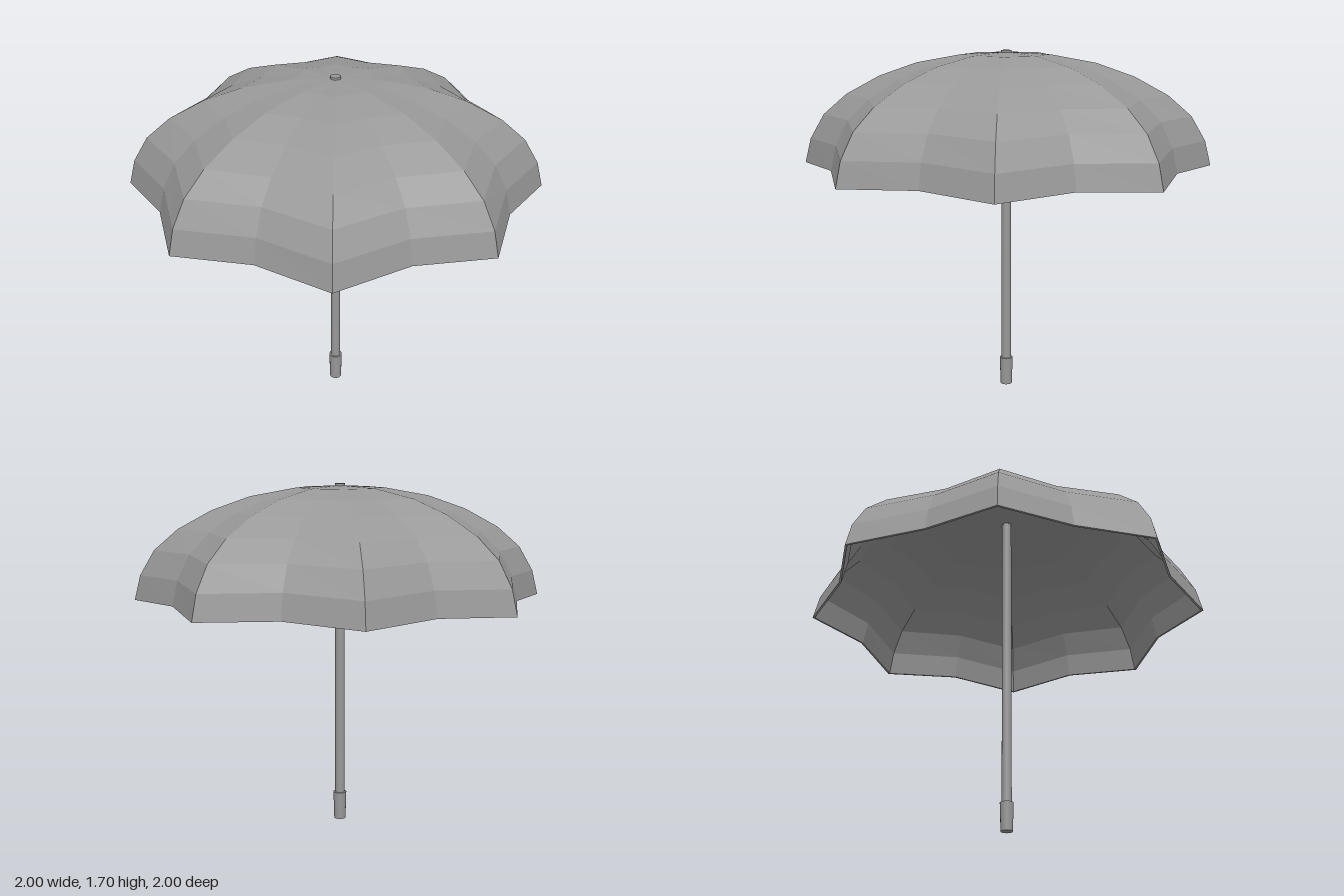
import * as THREE from 'three';

const RIBS = 8;

// Rib outline from crown to rim: [radius, height]
const OUTER = [
  [0, 1.69], [0.215, 1.68], [0.435, 1.64], [0.62, 1.575],
  [0.785, 1.485], [0.9, 1.385], [0.97, 1.265], [1, 1.145],
];
// Lining, from rim back up to the crown
const INNER = [
  [0.988, 1.145], [0.958, 1.262], [0.889, 1.378], [0.776, 1.476],
  [0.614, 1.565], [0.432, 1.63], [0.213, 1.67], [0, 1.68],
];

// Sweeps the profile round the pole, pulling it in between the ribs
function canopyGeometry() {
  const profile = [...OUTER, ...INNER];
  const around = RIBS * 2;
  const positions = [];
  const index = [];
  for (let i = 0; i < around; i++) {
    const angle = (i / around) * Math.PI * 2;
    const valley = i % 2 === 1;
    for (const [r, y] of profile) {
      const radius = valley ? r * 0.87 : r;
      const lift = valley ? 0.015 * r ** 6 : 0;
      positions.push(Math.sin(angle) * radius, y + lift, Math.cos(angle) * radius);
    }
  }
  const n = profile.length;
  for (let i = 0; i < around; i++) {
    const a = i * n;
    const b = ((i + 1) % around) * n;
    for (let j = 0; j < n - 1; j++) {
      if (j < n - 2) index.push(a + j, a + j + 1, b + j + 1);
      if (j > 0) index.push(a + j, b + j + 1, b + j);
    }
  }
  // The last ring closes onto the crown point
  for (let i = 0; i < around; i++) {
    const a = i * n + n - 2;
    const b = ((i + 1) % around) * n + n - 2;
    index.push(a, a + 1, b);
  }
  const geometry = new THREE.BufferGeometry();
  geometry.setAttribute('position', new THREE.Float32BufferAttribute(positions, 3));
  geometry.setIndex(index);
  // Separate the faces so each panel stays flat
  const flat = geometry.toNonIndexed();
  flat.computeVertexNormals();
  return flat;
}

export function createModel() {
  const group = new THREE.Group();
  const grey = new THREE.MeshStandardMaterial({ color: 0x999999, side: THREE.DoubleSide });
  grey.name = 'grey';

  const add = (name, geometry) => {
    const mesh = new THREE.Mesh(geometry, grey);
    mesh.name = name;
    group.add(mesh);
  };
  // Upright round part between two heights
  const rod = (name, topRadius, bottomRadius, y0, y1) => {
    const geometry = new THREE.CylinderGeometry(topRadius, bottomRadius, y1 - y0, 16);
    geometry.translate(0, (y0 + y1) / 2, 0);
    add(name, geometry);
  };

  add('canopy', canopyGeometry());
  rod('pole', 0.024, 0.024, 0.1, 1.68);
  rod('crownCap', 0.025, 0.025, 1.675, 1.7);
  rod('grip', 0.033, 0.029, 0.0, 0.14);

  return group;
}
